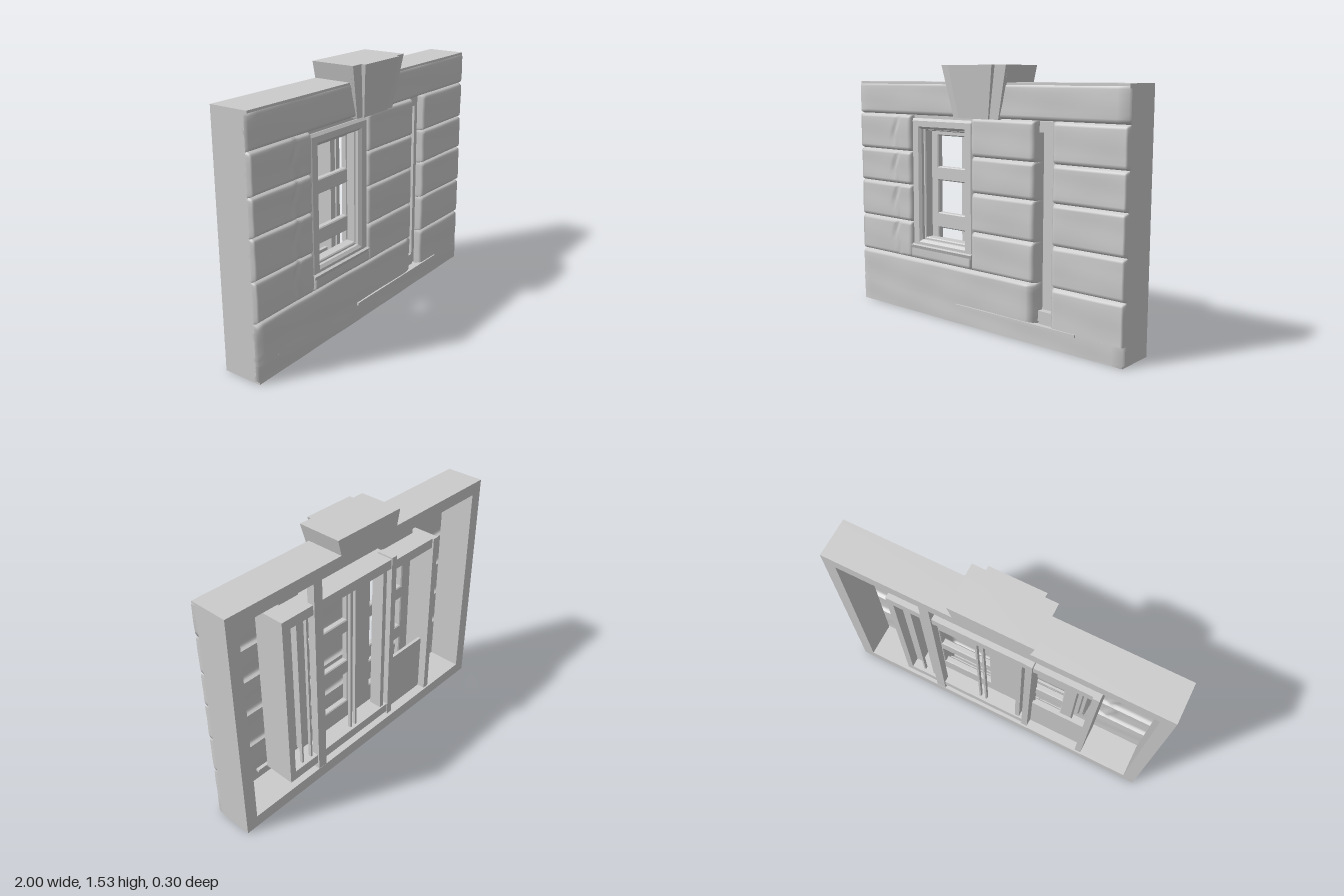
import * as THREE from 'three';

const mat = new THREE.MeshStandardMaterial({ color: 0xcccccc, side: THREE.DoubleSide });

function add(parent, name, geo) {
  const m = new THREE.Mesh(geo, mat);
  m.name = name;
  parent.add(m);
  return m;
}

function group(parent, name) {
  const g = new THREE.Group();
  g.name = name;
  parent.add(g);
  return g;
}

// Box given by its limits on each axis
function box(parent, name, x0, x1, y0, y1, z0, z1) {
  const g = new THREE.BoxGeometry(x1 - x0, y1 - y0, z1 - z0);
  g.translate((x0 + x1) / 2, (y0 + y1) / 2, (z0 + z1) / 2);
  return add(parent, name, g);
}

function rect(Type, x0, x1, y0, y1) {
  const s = new Type();
  s.moveTo(x0, y0);
  s.lineTo(x1, y0);
  s.lineTo(x1, y1);
  s.lineTo(x0, y1);
  s.closePath();
  return s;
}

// Flat panel with rectangular holes, from z0 to z1
function panel(parent, name, outer, holes, z0, z1, bevel = 0) {
  const s = rect(THREE.Shape, ...outer);
  for (const h of holes) s.holes.push(rect(THREE.Path, ...h));
  const g = new THREE.ExtrudeGeometry(s, {
    depth: z1 - z0 - 2 * bevel, bevelEnabled: bevel > 0, bevelSize: bevel,
    bevelThickness: bevel, bevelOffset: -bevel, bevelSegments: 1,
  });
  g.translate(0, 0, z0 + bevel);
  return add(parent, name, g);
}

// Gentle hewn unevenness of the logs, with a split near the left end
function hewn(x, y) {
  const split = y > 0.35 && y < 1.23 ? Math.exp(-(((x + 0.68 + 0.02 * Math.sin(30 * y)) / 0.014) ** 2)) : 0;
  return 0.0025 * Math.sin(9 * x + 14 * y) * Math.sin(5 * x - 21 * y) - 0.01 * split;
}

// Hollow-backed log: a sheet rounded at its edges, its ends turned back to zl and zr
function log(parent, x0, x1, y0, y1, zl, zr, roundLow = true, roundHigh = true) {
  const nx = 32, ny = 12;
  const g = new THREE.PlaneGeometry(1, 1, nx, ny);
  const p = g.attributes.position;
  const edge = [0, 0.006, 0.014, 0.025];
  for (let j = 0; j <= ny; j++) {
    const low = ny - j;
    let y = y0 + 0.025 + (y1 - y0 - 0.05) * (low - 3) / (ny - 6);
    if (low < 4) y = y0 + edge[low];
    if (j < 4) y = y1 - edge[j];
    const dLow = roundLow ? y - y0 : 1, dHigh = roundHigh ? y1 - y : 1;
    const round = Math.sqrt(Math.min(1, Math.min(dLow, dHigh) / 0.016));
    for (let i = 0; i <= nx; i++) {
      const k = Math.min(Math.max(i - 1, 0), nx - 2);
      const x = x0 + (x1 - x0) * k / (nx - 2);
      let z = 0.066 + 0.024 * round + hewn(x, y) * round;
      const soft = (k === 0 && zl < 0.04) || (k === nx - 2 && zr < 0.04);
      if (soft) z -= 0.012;
      if (i === 0) z = zl;
      if (i === nx) z = zr;
      p.setXYZ(j * (nx + 1) + i, x, y, z);
    }
  }
  g.computeVertexNormals();
  add(parent, 'log', g);
}

function buildLogs(root) {
  const logs = group(root, 'logWall');
  const rim = 0.05, deep = 0;
  // Sill log, notched around the slot
  log(logs, -1, 1, 0, 0.11, rim, rim, false, false);
  log(logs, -1, 0.42, 0.11, 0.34, rim, deep, false, true);
  log(logs, 0.54, 1, 0.11, 0.34, deep, rim, false, true);
  // Courses broken by the window and the slot
  const rows = [0.34, 0.57, 0.8, 1.01, 1.235];
  for (let i = 0; i < 4; i++) {
    log(logs, -1, -0.54, rows[i], rows[i + 1], rim, deep);
    log(logs, -0.04, 0.42, rows[i], rows[i + 1], deep, deep);
    log(logs, 0.54, 1, rows[i], rows[i + 1], deep, rim);
  }
  log(logs, -0.54, -0.04, 0.34, 0.41, 0.05, 0.05, true, false);
  // Lintel log
  log(logs, -1, 1, 1.235, 1.432, rim, rim);
}

function buildKeystone(root) {
  const stone = group(root, 'keystone');
  // Tapered block: limits at the bottom and at the top
  const wedge = (name, xb0, xb1, xt0, xt1, zBack, zb, zt) => {
    const g = new THREE.BoxGeometry(1, 1, 1).toNonIndexed();
    const p = g.attributes.position;
    for (let i = 0; i < p.count; i++) {
      const top = p.getY(i) > 0, right = p.getX(i) > 0, front = p.getZ(i) > 0;
      p.setXYZ(i,
        right ? (top ? xt1 : xb1) : (top ? xt0 : xb0),
        top ? 1.53 : 1.23,
        front ? (top ? zt : zb) : zBack);
    }
    g.computeVertexNormals();
    add(stone, name, g);
  };
  wedge('keystoneFront', -0.165, 0.175, -0.235, 0.25, 0.04, 0.098, 0.122);
  wedge('keystoneFace', -0.115, 0.11, -0.16, 0.17, 0.06, 0.108, 0.148);
  // Upper part running back over the lintel
  const s = new THREE.Shape();
  s.moveTo(-0.21, 1.42);
  s.lineTo(0.223, 1.42);
  s.lineTo(0.25, 1.53);
  s.lineTo(-0.235, 1.53);
  s.closePath();
  const g = new THREE.ExtrudeGeometry(s, { depth: 0.25, bevelEnabled: false });
  g.translate(0, 0, -0.15);
  add(stone, 'keystoneTop', g);
}

function buildWindow(root) {
  const win = group(root, 'window');
  // Outer casing and stepped inner stop
  panel(win, 'outerCasing', [-0.545, -0.035, 0.39, 1.215], [[-0.47, -0.11, 0.465, 1.15]], 0.0, 0.078, 0.015);
  panel(win, 'innerStop', [-0.51, -0.07, 0.43, 1.19], [[-0.455, -0.115, 0.48, 1.14]], -0.02, 0.045, 0.006);
  box(win, 'headFiller', -0.55, -0.03, 1.19, 1.25, 0, 0.055);
  const sill = box(win, 'windowSill', -0.25, 0.25, -0.018, 0.018, -0.04, 0.04);
  sill.position.set(-0.29, 0.425, 0.05);
  sill.rotation.x = 0.35;
  // Pair of sashes, three panes each
  const holes = [];
  for (const [a, b] of [[-0.4, -0.12], [0.08, 0.4]])
    for (const [c, d] of [[0.33, 0.54], [0.635, 0.835], [0.92, 1.11]]) holes.push([a, b, c, d]);
  panel(win, 'sashes', [-0.48, 0.48, 0.2, 1.18], holes, -0.05, -0.01, 0.006);
}

// Deep casings standing inside the hollow wall
function buildBackCasings(root) {
  const wide = group(root, 'wideCasing');
  box(wide, 'topRail', -0.23, 0.65, 1.17, 1.23, -0.14, 0.04);
  box(wide, 'topRailStop', -0.2, 0.62, 1.13, 1.17, -0.09, 0);
  box(wide, 'bottomRail', -0.23, 0.65, 0.12, 0.18, -0.14, 0.04);
  box(wide, 'leftJamb', 0.61, 0.65, 0.12, 1.23, -0.14, 0.06);
  box(wide, 'leftJambStop', 0.57, 0.61, 0.18, 1.17, -0.08, 0.04);
  box(wide, 'rightJamb', -0.23, -0.19, 0.1, 1.24, -0.145, -0.04);
  box(wide, 'rightJambStop', -0.165, -0.135, 0.12, 1.2, -0.13, -0.05);
  for (const x of [0.08, 0.12, 0.46, 0.53])
    box(wide, 'thinBar', x - 0.006, x + 0.006, 0.18, 1.17, -0.12, -0.1);

  const narrow = group(root, 'narrowCasing');
  box(narrow, 'hood', -0.615, -0.23, 1.14, 1.2, -0.13, 0.04);
  box(narrow, 'sideJamb', -0.615, -0.575, 0.075, 1.2, -0.14, 0.06);
  box(narrow, 'apron', -0.59, -0.2, 0.075, 0.46, -0.09, -0.07);
}

export function createModel() {
  const root = new THREE.Group();
  root.name = 'logWallSection';
  // Outer rim of the hollow wall
  panel(root, 'rim', [-1, 1, 0, 1.435], [[-0.925, 0.925, 0.075, 1.36]], -0.15, 0.064);
  box(root, 'rimTopEdge', -1, 1, 1.41, 1.435, 0.05, 0.085);
  box(root, 'rimBottomEdge', -1, 1, 0, 0.012, 0.05, 0.088);
  box(root, 'backPost', 0.37, 0.43, 0.07, 1.37, -0.149, -0.1);
  // Slot lining and threshold strip
  box(root, 'slotBack', 0.41, 0.55, 0.1, 1.24, -0.012, 0);
  box(root, 'slotStep', 0.42, 0.54, 0.1, 0.17, 0, 0.03);
  box(root, 'slotStop', 0.51, 0.54, 0.12, 1.235, 0, 0.04);
  box(root, 'thresholdStrip', -0.16, 0.71, 0.103, 0.118, 0.07, 0.1);
  buildLogs(root);
  buildKeystone(root);
  buildWindow(root);
  buildBackCasings(root);
  return root;
}
